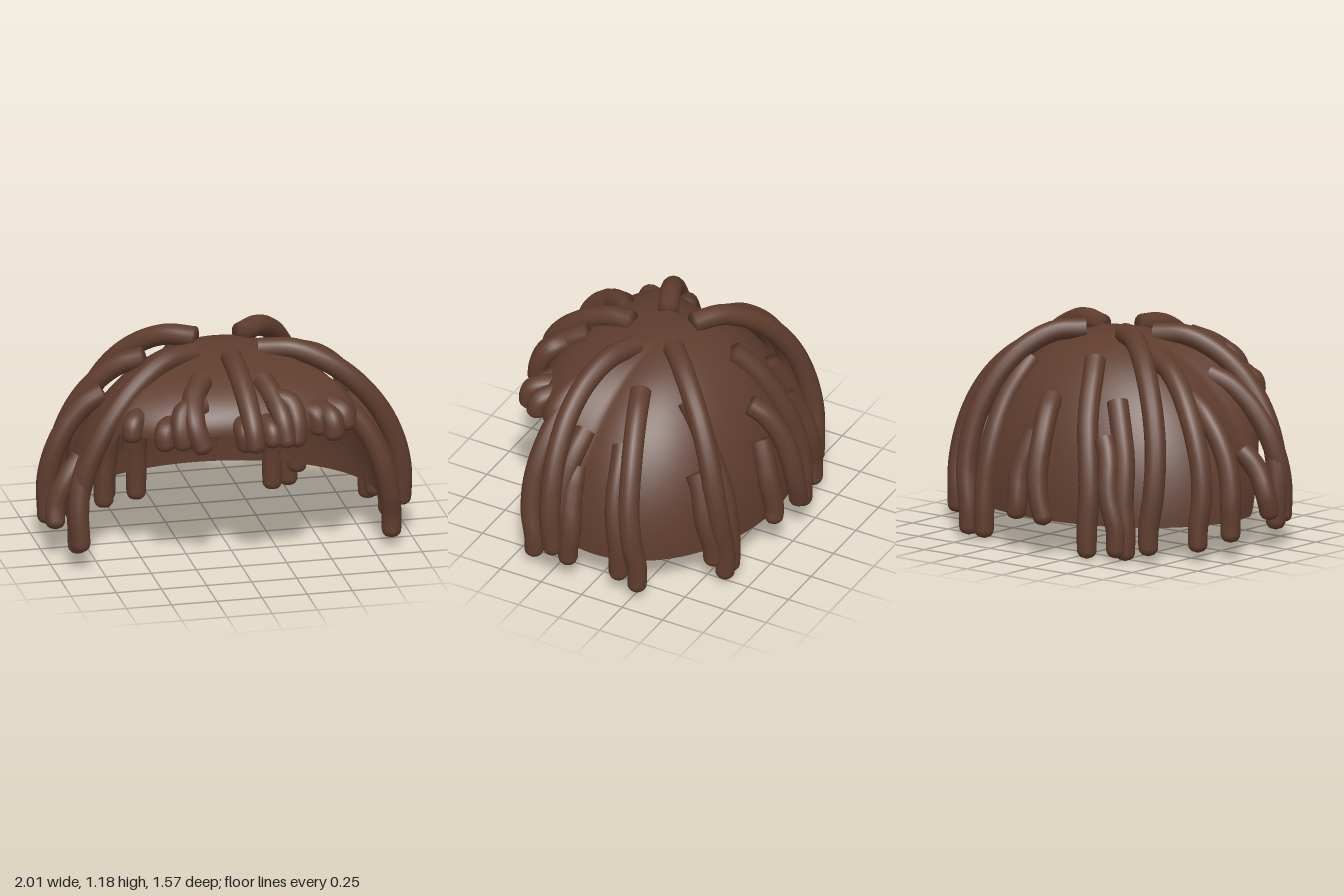
import * as THREE from 'three';

const RX = 0.86, RZ = 0.65, TOP = 1.13, RIM = 0.19;
const rad = THREE.MathUtils.degToRad;

// Rim height around the head (theta 0 = front): high over the face, low elsewhere
function rimHeight(theta) {
  const a = Math.abs(THREE.MathUtils.radToDeg(theta));
  const front = 0.83 - 0.04 * Math.min(1, a / 46);
  return THREE.MathUtils.lerp(front, RIM, THREE.MathUtils.clamp((a - 50) / 26, 0, 1));
}

// Point above the dome that the locks follow
function domePoint(theta, phi, out) {
  return new THREE.Vector3(
    (RX + out) * Math.sin(theta) * Math.sin(phi),
    RIM + (TOP - RIM + out) * Math.cos(phi),
    (RZ + out) * Math.cos(theta) * Math.sin(phi));
}

// Open dome with a raised front rim
function capGeometry() {
  const geo = new THREE.SphereGeometry(1, 144, 28, Math.PI / 2, Math.PI * 2, 0, Math.PI / 2);
  const p = geo.attributes.position;
  for (let i = 0; i < p.count; i++) {
    const x = p.getX(i), y = p.getY(i), z = p.getZ(i);
    const base = rimHeight(Math.atan2(x, z));
    p.setXYZ(i, x * RX, base + (TOP - base) * y, z * RZ);
  }
  geo.computeVertexNormals();
  return geo;
}

// Tube with a flat root and a rounded tip
function lockGeometry(points, radius) {
  const curve = new THREE.CatmullRomCurve3(points);
  const length = curve.getLength();
  const rings = Math.max(30, Math.round(length * 80)), sides = 14;
  const geo = new THREE.TubeGeometry(curve, rings, radius, sides, false);
  const p = geo.attributes.position, n = geo.attributes.normal;
  const v = new THREE.Vector3(), c = new THREE.Vector3();
  const root = curve.getPointAt(0), back = curve.getTangentAt(0).negate();
  const tip = curve.getTangentAt(1);
  for (let i = 0; i <= rings; i++) {
    c.copy(curve.getPointAt(i / rings));
    const left = (1 - i / rings) * length;
    const k = Math.max(0, 1 - left / (radius * 0.8));
    const round = Math.sqrt(1 - k * k);
    const scale = i === 0 ? 0 : round * (0.9 + 0.1 * Math.min(1, left * 4));
    for (let j = 0; j <= sides; j++) {
      const id = i * (sides + 1) + j;
      v.fromBufferAttribute(p, id).sub(c).multiplyScalar(scale);
      v.add(i === 1 ? root : c);
      p.setXYZ(id, v.x, v.y, v.z);
      v.fromBufferAttribute(n, id);
      if (i === 0) v.copy(back);
      else v.multiplyScalar(round).addScaledVector(tip, k).normalize();
      n.setXYZ(id, v.x, v.y, v.z);
    }
  }
  return geo;
}

// Path that arches over the dome, then hangs below its rim
function hangingPath([a0, phi0, a1, tipY, out, bulge], seed) {
  const pts = [], steps = 7;
  const end = tipY > RIM ? Math.acos((tipY - RIM) / (TOP - RIM)) : Math.PI / 2;
  for (let i = 0; i <= steps; i++) {
    const t = i / steps;
    const wave = 1.2 * Math.sin(t * 7 + seed * 1.9) * t;
    const theta = rad(THREE.MathUtils.lerp(a0, a1, Math.pow(t, 0.6)) + wave);
    const lift = 0.02 + (out - 0.02) * Math.sin(t * Math.PI / 2) + bulge * Math.sin(Math.PI * Math.pow(t, 0.7));
    pts.push(domePoint(theta, THREE.MathUtils.lerp(rad(phi0), end, t), lift));
  }
  if (tipY < RIM) {
    const last = pts[steps].clone();
    last.y = tipY;
    pts.push(last);
  }
  return pts;
}

// Hanging locks: start angle, start slope, end angle, tip height, end lift, bulge
const backLocks = [
  [178, 48, 186, 0.18, 0.08, 0.03], [175, 61, 172, 0.18, 0.05, 0],
  [138, 35, 153, 0.02, 0.025, -0.01], [131, 11, 147, 0.03, 0.08, 0.05],
  [138, 61, 142, 0.12, 0.05, 0], [-123, 10, -134, 0.05, 0.08, 0.05],
  [-146, 47, -143, 0.01, 0.025, -0.01], [-152, 61, -148, 0.03, 0.06, 0],
  [-163, 29, -158, 0.01, 0.025, -0.01],
];
const sideLocks = [
  [99, 30, 111, 0.05, 0.08, 0.03], [98, 50, 103, 0.1, 0.05, 0.02],
  [49, 16, 76, 0.18, 0.125, 0.075], [46, 38, 61, 0.06, 0.12, 0.04],
  [70, 50, 73, 0.2, 0.07, 0.02], [73, 62, 79, 0.1, 0.05, 0],
  [-49, 16, -64, 0.09, 0.1, 0.075], [-64, 40, -62, 0.12, 0.13, 0.03],
  [-108, 29, -115, 0.06, 0.07, 0.04], [-102, 47, -100, 0.1, 0.09, 0.03],
  [-80, 68, -78, 0.18, 0.115, 0.01],
];

// Short fringe locks: x, y, z along each path
const centreFringe = [
  [[0, 1.12, 0.24], [0, 1.1, 0.4], [0.01, 0.99, 0.6], [0.02, 0.87, 0.71], [0.03, 0.74, 0.74]],
  [[0.13, 1.05, 0.44], [0.16, 1, 0.54], [0.19, 0.9, 0.67], [0.21, 0.75, 0.72]],
  [[0.14, 0.98, 0.54], [0.24, 0.97, 0.6], [0.27, 0.88, 0.66], [0.26, 0.74, 0.69]],
  [[0.1, 0.87, 0.6], [0.13, 0.84, 0.68], [0.13, 0.75, 0.7]],
  [[-0.03, 0.87, 0.6], [-0.02, 0.84, 0.67], [-0.01, 0.73, 0.67]],
];
const sideFringe = [
  [[-0.2, 1.06, 0.4], [-0.27, 1, 0.52], [-0.29, 0.9, 0.64], [-0.24, 0.74, 0.69]],
  [[-0.22, 0.96, 0.52], [-0.33, 0.95, 0.57], [-0.36, 0.87, 0.62], [-0.34, 0.75, 0.64]],
  [[-0.38, 0.86, 0.5], [-0.44, 0.85, 0.58], [-0.44, 0.74, 0.6]],
  [[-0.53, 0.88, 0.39], [-0.59, 0.86, 0.46], [-0.6, 0.76, 0.48]],
  [[0.36, 0.88, 0.5], [0.41, 0.86, 0.55], [0.42, 0.75, 0.56]],
  [[0.42, 0.88, 0.48], [0.48, 0.85, 0.59], [0.49, 0.73, 0.61]],
  [[0.48, 0.88, 0.43], [0.56, 0.85, 0.5], [0.58, 0.75, 0.52]],
];

export function createModel() {
  const model = new THREE.Group();
  model.name = 'dreadlockHair';
  const brown = new THREE.MeshStandardMaterial({ color: 0x5f3d2e, side: THREE.DoubleSide });
  brown.name = 'brownHair';

  const add = (name, geometry, parent) => {
    const mesh = new THREE.Mesh(geometry, brown);
    mesh.name = name;
    parent.add(mesh);
  };
  add('hairCap', capGeometry(), model);

  const addLocks = (name, rows, makePath, radius) => {
    const group = new THREE.Group();
    group.name = name + 's';
    rows.forEach((row, i) => add(name + (i + 1), lockGeometry(makePath(row, i), radius), group));
    model.add(group);
  };
  const toVectors = (row) => row.map((q) => new THREE.Vector3(...q));
  addLocks('backLock', backLocks, hangingPath, 0.058);
  addLocks('sideLock', sideLocks, hangingPath, 0.058);
  addLocks('centreFringeLock', centreFringe, toVectors, 0.058);
  addLocks('sideFringeLock', sideFringe, toVectors, 0.062);
  return model;
}
